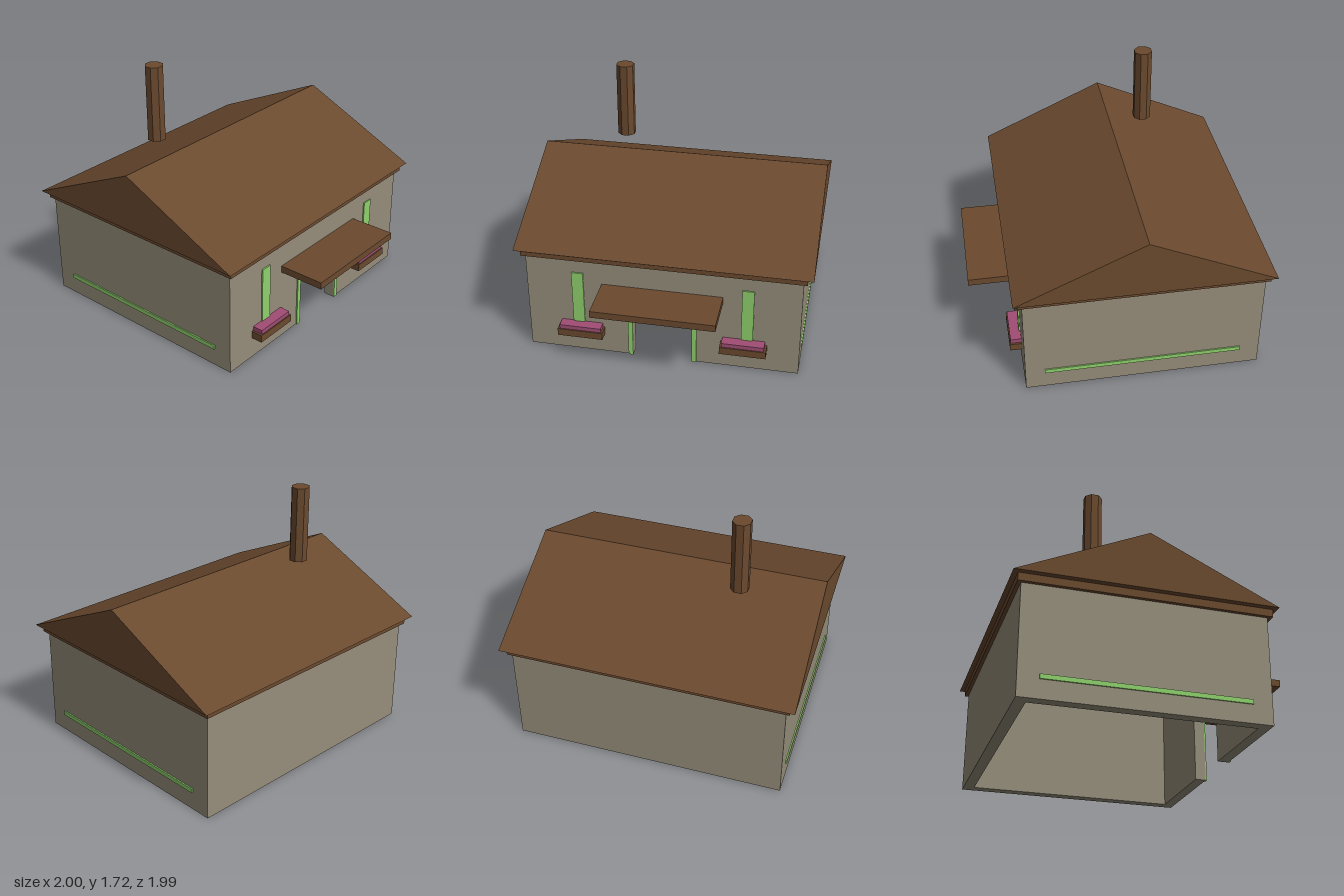
import * as THREE from 'three';

const material = (name, color) => {
  const m = new THREE.MeshStandardMaterial({ color });
  m.name = name;
  return m;
};

export function createModel() {
  const house = new THREE.Group();
  house.name = 'cottage';

  const stone = material('stone', 0x968e7b);
  const wood = material('brown wood', 0x6b4a2f);
  const green = material('green trim', 0x8fd16d);
  const pink = material('pink flowers', 0xa04d74);

  const add = (name, geometry, mat) => {
    const mesh = new THREE.Mesh(geometry, mat);
    mesh.name = name;
    house.add(mesh);
    return mesh;
  };

  // Box given by its extents along each axis
  const box = (name, mat, [x0, x1], [y0, y1], [z0, z1]) =>
    add(name, new THREE.BoxGeometry(x1 - x0, y1 - y0, z1 - z0), mat)
      .position.set((x0 + x1) / 2, (y0 + y1) / 2, (z0 + z1) / 2);

  // Outline extruded along z, starting at z0
  const extrude = (name, mat, points, z0, depth) => {
    const shape = new THREE.Shape(points.map(([x, y]) => new THREE.Vector2(x, y)));
    const geometry = new THREE.ExtrudeGeometry(shape, { depth, bevelEnabled: false });
    return add(name, geometry.translate(0, 0, z0), mat);
  };

  // Arch-like outline: a rectangle with a doorway cut from its lower edge
  const doorway = (w, h, dw, dh) => [
    [-w, 0], [-dw, 0], [-dw, dh], [dw, dh], [dw, 0], [w, 0], [w, h], [-w, h],
  ];

  const W = 0.935, H = 0.735, FRONT = 0.675, BACK = -0.93, T = 0.075;

  // Hollow walls, open below
  extrude('frontWall', stone, doorway(W, H, 0.205, 0.44), FRONT - T, T);
  box('backWall', stone, [-W, W], [0, H], [BACK, BACK + T]);
  box('rightWall', stone, [-W, -W + T], [0, H], [BACK + T, FRONT - T]);
  box('leftWall', stone, [W - T, W], [0, H], [BACK + T, FRONT - T]);

  // Ceiling slab and gabled roof
  box('ceilingSlab', wood, [-0.96, 0.96], [H, 0.788], [-0.955, 0.705]);
  const roof = extrude('roof', wood, [[-0.735, 0.787], [0.99, 0.787], [0.128, 1.185]], -1, 2);
  roof.geometry.rotateY(Math.PI / 2);
  // the outline's x axis now runs towards -z

  // Eight-sided chimney hovering beside the ridge
  const chimney = new THREE.CylinderGeometry(0.064, 0.064, 0.53, 8, 1, false, Math.PI / 8).toNonIndexed();
  chimney.computeVertexNormals();
  add('chimney', chimney, wood).position.set(-0.47, 1.455, -0.367);

  // Door surround and awning
  extrude('doorFrame', green, doorway(0.237, 0.47, 0.205, 0.44), FRONT, 0.009);
  box('awning', wood, [-0.413, 0.413], [0.507, 0.555], [FRONT, 0.995]);

  // Windows, flower boxes and side stripes, mirrored
  for (const [side, s] of [['left', 1], ['right', -1]]) {
    const span = (a, b) => (s > 0 ? [a, b] : [-b, -a]);
    box(side + 'Window', green, span(0.54, 0.62), [0.2, 0.627], [FRONT, FRONT + 0.009]);
    box(side + 'FlowerBox', wood, span(0.403, 0.717), [0.15, 0.203], [FRONT, 0.755]);
    box(side + 'Flowers', pink, span(0.415, 0.703), [0.203, 0.233], [FRONT, 0.748]);
    box(side + 'Stripe', green, span(W, W + 0.009), [0.125, 0.155], [-0.795, 0.545]);
  }

  return house;
}
